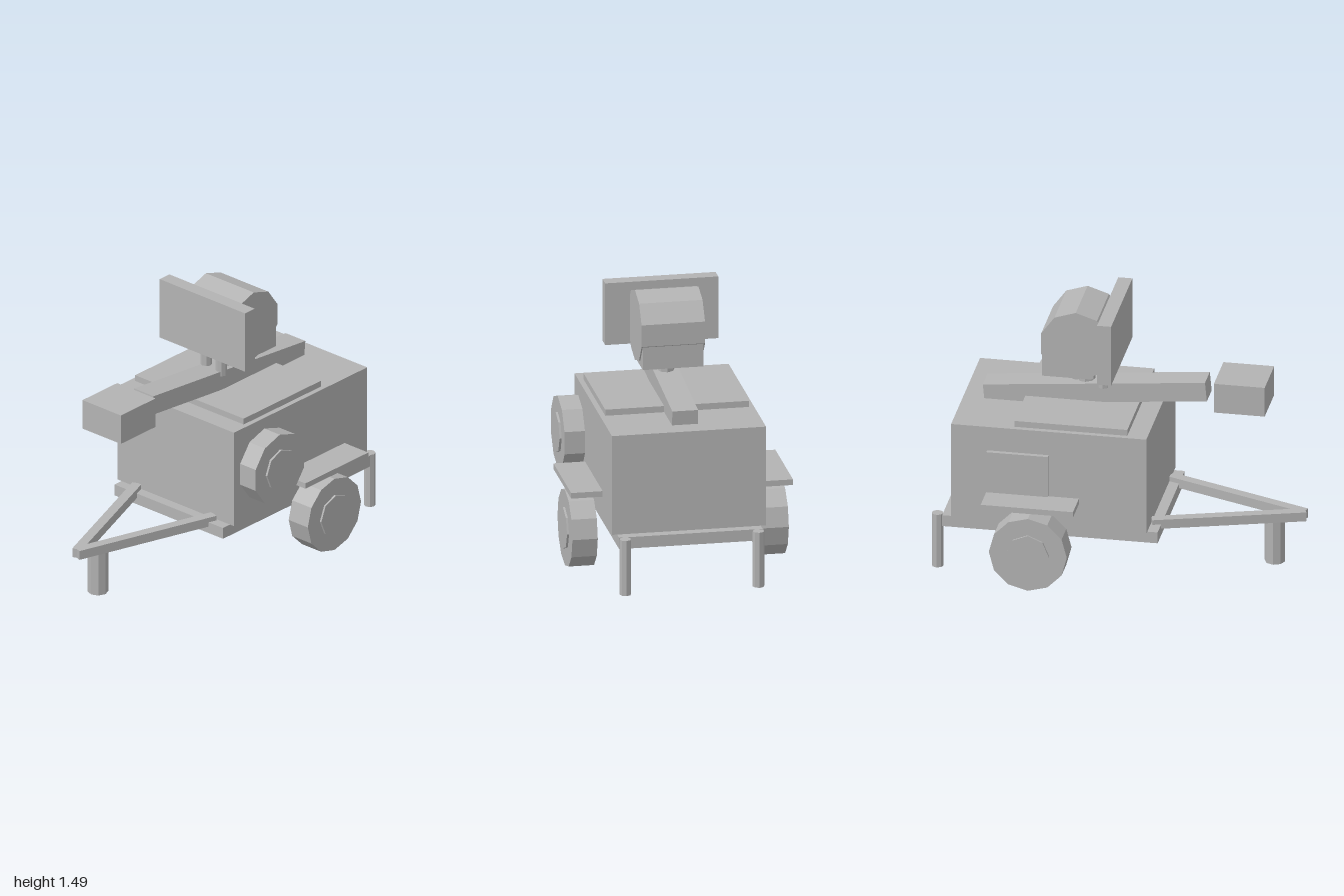
import * as THREE from 'three';

export function createModel() {
  const model = new THREE.Group();
  model.name = 'trailer';
  const grey = new THREE.MeshStandardMaterial({ color: 0xb3b3b3, flatShading: true });
  grey.name = 'plain grey';

  const add = (name, geometry) => {
    const mesh = new THREE.Mesh(geometry, grey);
    mesh.name = name;
    model.add(mesh);
    return mesh;
  };
  // Box given by its limits on each axis
  const box = (name, x0, x1, y0, y1, z0, z1) => {
    const mesh = add(name, new THREE.BoxGeometry(x1 - x0, y1 - y0, z1 - z0));
    mesh.position.set((x0 + x1) / 2, (y0 + y1) / 2, (z0 + z1) / 2);
    return mesh;
  };
  // Upright post
  const post = (name, x, z, r, y0, y1) => {
    const mesh = add(name, new THREE.CylinderGeometry(r, r, y1 - y0, 8));
    mesh.position.set(x, (y0 + y1) / 2, z);
  };
  // Drum lying along x; turn spins its corners about the axis
  const drum = (name, x0, x1, y, z, r, sides, turn = 0) => {
    const geometry = new THREE.CylinderGeometry(r, r, Math.abs(x1 - x0), sides);
    geometry.rotateZ(Math.PI / 2).rotateX(turn);
    add(name, geometry).position.set((x0 + x1) / 2, y, z);
  };

  // Trailer body, base frame and roof plate
  box('body', -0.425, 0.425, 0.315, 0.88, -0.883, 0.193);
  box('baseFrame', -0.396, 0.396, 0.25, 0.315, -0.938, 0.25);
  box('roofPlate', -0.396, 0.396, 0.88, 0.915, -0.54, 0.083);

  // Folded mast, tilted up to the front, with the unit at its tip
  const mast = box('mast', -0.071, 0.071, 0.91, 1.02, -0.772, 0.458);
  mast.position.set(0, 0.965, -0.157);
  mast.rotation.x = -0.0945;
  box('mastEndUnit', -0.14, 0.14, 0.938, 1.11, 0.512, 0.792);

  // Sensor head: panel, rounded housing and supports
  box('headPanel', -0.312, 0.312, 1.132, 1.485, -0.1, -0.022);
  drum('headDrum', -0.175, 0.175, 1.285, -0.243, 0.2, 10, Math.PI / 10);
  box('headBase', -0.168, 0.168, 1.09, 1.28, -0.43, -0.145);
  post('headPost', 0, -0.215, 0.047, 0.96, 1.12);

  // Parts found on both sides
  for (const s of [-1, 1]) {
    const side = s > 0 ? 'left' : 'right';
    post(side + 'PanelSupport', s * 0.055, -0.112, 0.031, 1.0, 1.14);
    drum(side + 'Wheel', s * 0.457, s * 0.597, 0.215, -0.428, 0.215, 12);
    drum(side + 'Hub', s * 0.59, s * 0.608, 0.215, -0.428, 0.118, 8);
    box(side + 'Fender', s * 0.525 - 0.087, s * 0.525 + 0.087, 0.468, 0.5, -0.685, -0.176);
    post(side + 'RearLeg', s * 0.367, -0.968, 0.032, 0, 0.315);

    // Drawbar arm running in to the coupling point
    const rear = new THREE.Vector3(s * 0.281, 0.316, 0.195);
    const tip = new THREE.Vector3(0, 0.302, 0.991);
    const arm = add(side + 'Drawbar', new THREE.BoxGeometry(0.055, 0.053, rear.distanceTo(tip)));
    arm.position.addVectors(rear, tip).multiplyScalar(0.5);
    arm.lookAt(tip);
  }
  post('frontLeg', 0, 0.822, 0.056, 0.013, 0.282);

  // Spare wheel on the left wall, hatch on the right wall
  drum('spareWheel', 0.447, 0.56, 0.627, -0.028, 0.205, 10, Math.PI / 10);
  drum('spareHub', 0.55, 0.572, 0.627, -0.028, 0.115, 8);
  box('sideHatch', -0.45, -0.42, 0.46, 0.74, -0.685, -0.345);

  return model;
}
